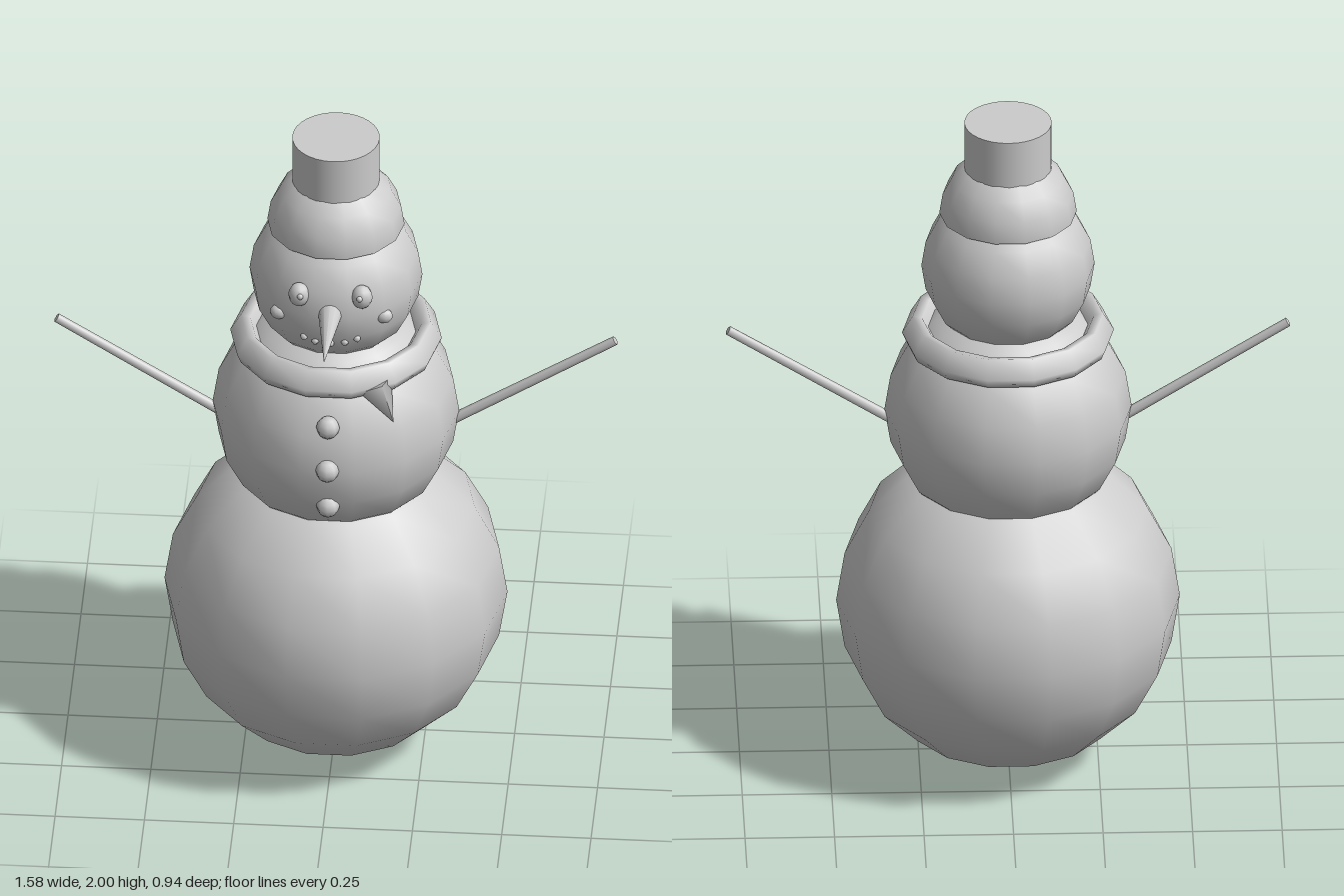
import * as THREE from 'three';

export function createModel() {
  const group = new THREE.Group();
  const clay = new THREE.MeshStandardMaterial({ color: 0xcccccc, side: THREE.DoubleSide });
  clay.name = 'light grey';

  const add = (name, geometry, x = 0, y = 0, z = 0) => {
    const mesh = new THREE.Mesh(geometry, clay);
    mesh.name = name;
    mesh.position.set(x, y, z);
    group.add(mesh);
    return mesh;
  };
  const ball = (name, r, x, y, z, w = 14, h = 10) =>
    add(name, new THREE.SphereGeometry(r, w, h), x, y, z);
  // Tapered rod running from a to b
  const rod = (name, a, b, r0, r1, sides) => {
    const dir = b.clone().sub(a);
    const mesh = add(name, new THREE.CylinderGeometry(r1, r0, dir.length(), sides));
    mesh.position.copy(a).addScaledVector(dir, 0.5);
    mesh.quaternion.setFromUnitVectors(new THREE.Vector3(0, 1, 0), dir.normalize());
    return mesh;
  };
  const v = (x, y, z) => new THREE.Vector3(x, y, z);

  // Three stacked snowballs
  ball('lowerBody', 0.48, 0, 0.485, 0);
  ball('torso', 0.345, 0, 1.093, 0);
  ball('head', 0.242, 0, 1.548, 0);

  // Hat: dome and crown
  add('hatDome', new THREE.SphereGeometry(0.192, 14, 5, 0, Math.PI * 2, 0, Math.PI / 2), 0, 1.715, 0);
  add('hatCrown', new THREE.CylinderGeometry(0.122, 0.122, 0.17, 32), 0, 1.915, 0);

  // Scarf ring, closed profile, with its hanging end
  const profile = [[0.222, 1.35], [0.285, 1.308], [0.296, 1.335], [0.266, 1.386], [0.24, 1.38], [0.222, 1.35]];
  const scarf = add('scarf', new THREE.LatheGeometry(profile.map(p => new THREE.Vector2(...p)), 14));
  scarf.rotation.y = Math.PI / 2;
  rod('scarfEnd', v(0.128, 1.33, 0.235), v(0.18, 1.225, 0.265), 0.052, 0, 4);

  // Coat buttons
  for (const [y, z] of [[1.23, 0.312], [1.1, 0.337], [0.965, 0.312]]) ball('button', 0.033, 0, y, z, 8, 6);

  // Nose
  rod('nose', v(0, 1.555, 0.2), v(0, 1.555, 0.467), 0.037, 0, 12);

  // Paired parts: arms, eyes, pupils, cheeks
  for (const s of [-1, 1]) {
    rod('arm', v(s * 0.32, 1.058, 0), v(s * 0.782, 1.35, 0), 0.015, 0.013, 6);
    ball('eye', 0.03, s * 0.088, 1.61, 0.214, 10, 8).scale.set(1, 1.2, 0.95);
    ball('pupil', 0.009, s * 0.083, 1.619, 0.24, 6, 5);
    ball('cheek', 0.025, s * 0.147, 1.526, 0.18, 10, 8).scale.set(1, 0.9, 0.8);
  }

  // Mouth pebbles
  for (const [x, y] of [[-0.074, 1.466], [-0.043, 1.456], [0, 1.45], [0.04, 1.456], [0.074, 1.466]]) {
    const z = Math.sqrt(0.238 ** 2 - x * x - (y - 1.548) ** 2);
    ball('mouthPebble', 0.011, x, y, z, 6, 5);
  }
  return group;
}
